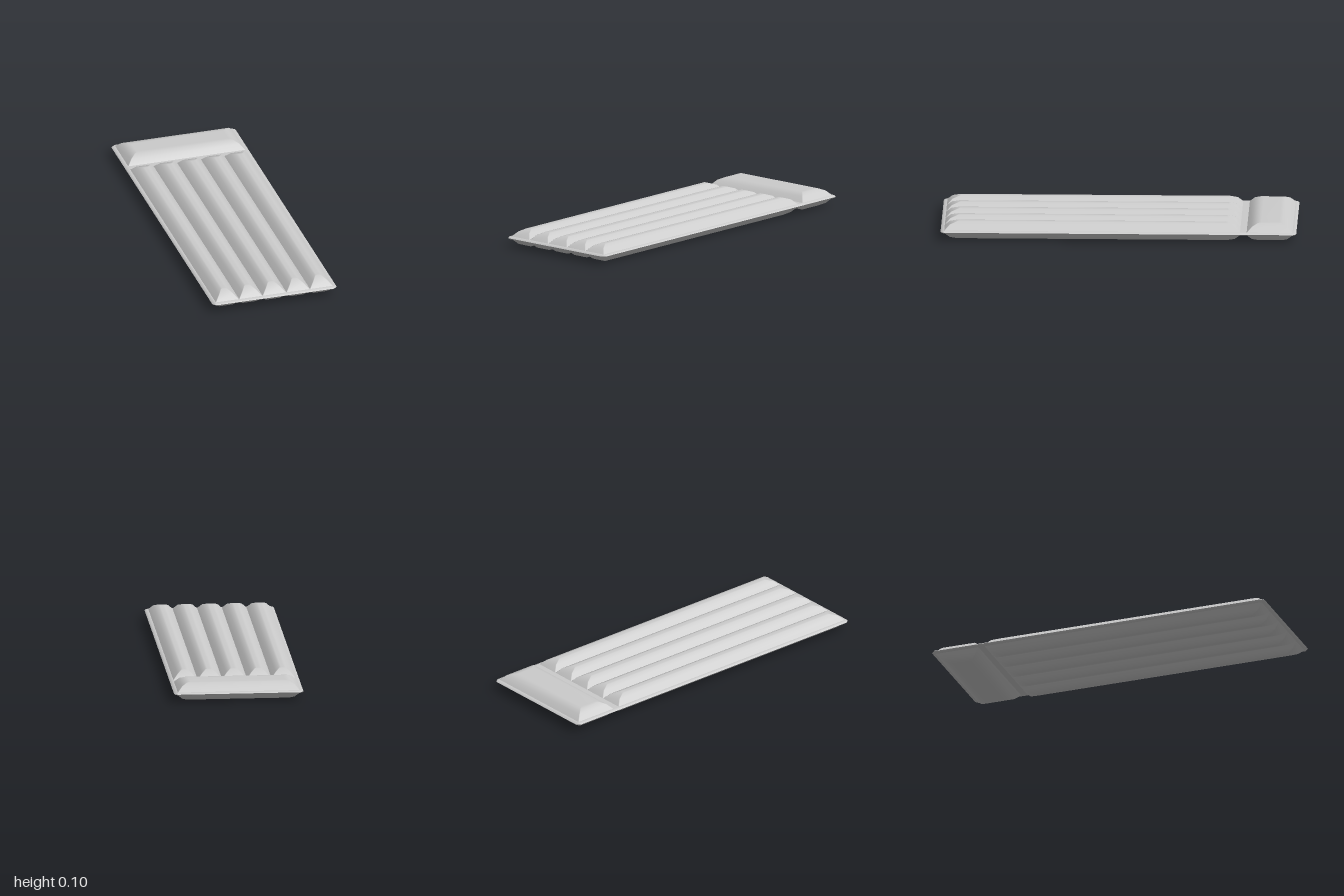
import * as THREE from 'three';

const MID = 0.05; // height of the welded seam
const material = new THREE.MeshStandardMaterial({ color: 0xcccccc, side: THREE.DoubleSide });

// Corners of a rectangle (counter-clockwise from above) with each corner cut by c
function ring(x0, x1, z0, z1, c) {
  return [
    [x1, z1 - c], [x1, z0 + c], [x1 - c, z0], [x0 + c, z0],
    [x0, z0 + c], [x0, z1 - c], [x0 + c, z1], [x1 - c, z1],
  ];
}

// Stack of shrinking rings closed with a flat cap; side = 1 for top, -1 for underside.
// Each step is [inset in x, inset in z, height above the seam, corner cut].
function shell(x0, x1, z0, z1, steps, side) {
  const positions = [], index = [];
  const face = (a, b, c) => (side > 0 ? index.push(a, b, c) : index.push(a, c, b));
  for (const [ix, iz, h, cut] of steps) {
    for (const [x, z] of ring(x0 + ix, x1 - ix, z0 + iz, z1 - iz, cut)) {
      positions.push(x, MID + side * h, z);
    }
  }
  for (let s = 0; s < steps.length - 1; s++) {
    for (let i = 0; i < 8; i++) {
      const a = s * 8 + i, b = s * 8 + (i + 1) % 8;
      face(a, b, b + 8);
      face(a, b + 8, a + 8);
    }
  }
  const last = (steps.length - 1) * 8;
  for (let i = 1; i < 7; i++) face(last, last + i, last + i + 1);
  const geometry = new THREE.BufferGeometry();
  geometry.setAttribute('position', new THREE.Float32BufferAttribute(positions, 3));
  geometry.setIndex(index);
  geometry.computeVertexNormals();
  return geometry;
}

// Matching upper and lower shells
function part(name, x0, x1, z0, z1, steps) {
  const group = new THREE.Group();
  group.name = name;
  for (const side of [1, -1]) {
    const mesh = new THREE.Mesh(shell(x0, x1, z0, z1, steps, side), material);
    mesh.name = name + (side > 0 ? 'Top' : 'Bottom');
    group.add(mesh);
  }
  return group;
}

export function createModel() {
  const model = new THREE.Group();
  model.name = 'airMattress';

  // Thin welded sheet with a tapered rim
  model.add(part('rim', -0.365, 0.365, -1, 1, [
    [0, 0, 0, 0.02], [0.007, 0.007, 0.006, 0.015], [0.02, 0.02, 0.008, 0.004],
  ]));

  // Five long air chambers
  const puff = [
    [0, 0, 0.007, 0.003], [0.027, 0.03, 0.036, 0.003],
    [0.05, 0.07, 0.049, 0.003], [0.06, 0.08, 0.05, 0.003],
  ];
  const seams = [-0.345, -0.208, -0.07, 0.07, 0.208, 0.345];
  for (let i = 0; i < 5; i++) {
    model.add(part('airChamber' + (i + 1), seams[i], seams[i + 1], -0.685, 0.98, puff));
  }

  // Head pillow
  model.add(part('pillow', -0.345, 0.345, -0.98, -0.72, [
    [0, 0, 0.007, 0.003], [0.027, 0.03, 0.036, 0.003],
    [0.055, 0.06, 0.049, 0.003], [0.075, 0.08, 0.05, 0.003],
  ]));
  return model;
}
